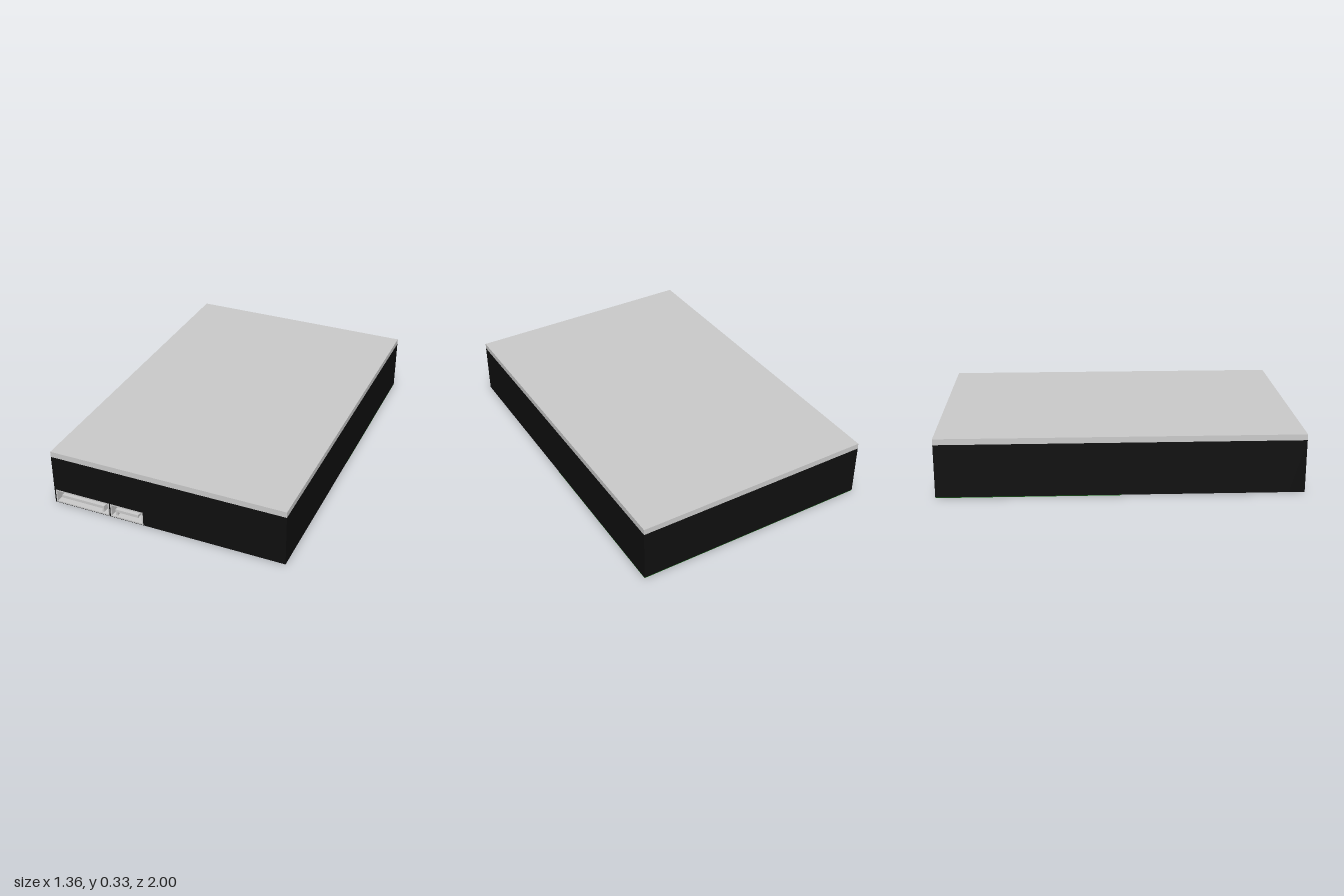
import * as THREE from 'three';

const paint = (color) => new THREE.MeshStandardMaterial({ color });
const grey = paint(0xcccccc), black = paint(0x0f0f0f), green = paint(0x147014);

function part(parent, name, geometry, material, x = 0, y = 0, z = 0) {
  const mesh = new THREE.Mesh(geometry, material);
  mesh.name = name;
  mesh.position.set(x, y, z);
  parent.add(mesh);
  return mesh;
}

// Closed outline of a rectangle
const rect = (x0, y0, x1, y1, Type = THREE.Shape) =>
  new Type([[x0, y0], [x1, y0], [x1, y1], [x0, y1]].map((p) => new THREE.Vector2(...p)));

const extrude = (shape, depth) => new THREE.ExtrudeGeometry(shape, { depth, bevelEnabled: false });

const W = 0.68, L = 1, BASE = 0.003, SEAM = 0.3, TOP = 0.333;
const DEPTH = 0.09, Y0 = 0.005, Y1 = 0.087, WALL = 0.008;

// Sockets: outer edges, tongue edges, and the end where the key turns down
const sockets = [
  { name: 'powerConnector', x0: -0.673, x1: -0.34, t0: -0.638, t1: -0.375, key: 'right' },
  { name: 'dataConnector', x0: -0.333, x1: -0.135, t0: -0.304, t1: -0.167, key: 'left' },
];

function connector({ name, x0, x1, t0, t1, key }) {
  const group = new THREE.Group();
  group.name = name;

  // Thin rim around the open socket
  const frame = rect(x0, Y0, x1, Y1);
  frame.holes.push(rect(x0 + WALL, Y0 + WALL, x1 - WALL, Y1 - WALL, THREE.Path));
  part(group, 'shell', extrude(frame, DEPTH), grey, 0, 0, L - DEPTH);

  // Back wall of the socket
  part(group, 'backPlate', new THREE.BoxGeometry(x1 - x0, Y1 - Y0, 0.01), grey,
    (x0 + x1) / 2, (Y0 + Y1) / 2, L - DEPTH + 0.005);

  // L-shaped contact tongue
  const yTop = 0.056, yMid = 0.039, yLow = 0.017, k = 0.012;
  const points = key === 'right'
    ? [[t0, yMid], [t1 - k, yMid], [t1 - k, yLow], [t1, yLow], [t1, yTop], [t0, yTop]]
    : [[t0, yLow], [t0 + k, yLow], [t0 + k, yMid], [t1, yMid], [t1, yTop], [t0, yTop]];
  const tongue = new THREE.Shape(points.map((p) => new THREE.Vector2(...p)));
  part(group, 'tongue', extrude(tongue, DEPTH - 0.01), grey, 0, 0, L - DEPTH + 0.005);
  return group;
}

export function createModel() {
  const model = new THREE.Group();
  model.name = 'diskDrive';

  // Solid case, with a front slice cut out for the sockets
  part(model, 'case', extrude(rect(-W, BASE, W, SEAM), 2 * L - DEPTH), black, 0, 0, -L);
  const front = rect(-W, BASE, W, SEAM);
  for (const s of sockets) front.holes.push(rect(s.x0, Y0, s.x1, Y1, THREE.Path));
  part(model, 'caseFront', extrude(front, DEPTH), black, 0, 0, L - DEPTH);

  // Metal cover
  part(model, 'lid', new THREE.BoxGeometry(2 * W, TOP - SEAM, 2 * L), grey, 0, (SEAM + TOP) / 2, 0);

  // Underside: circuit board on the back half, spindle cap on the front half
  part(model, 'circuitBoard', new THREE.BoxGeometry(2 * W, BASE, L), green, 0, BASE / 2, -L / 2);
  part(model, 'spindleCap', new THREE.CylinderGeometry(0.17, 0.17, BASE, 48), grey, 0, BASE / 2, 0.505);

  for (const s of sockets) model.add(connector(s));
  return model;
}
